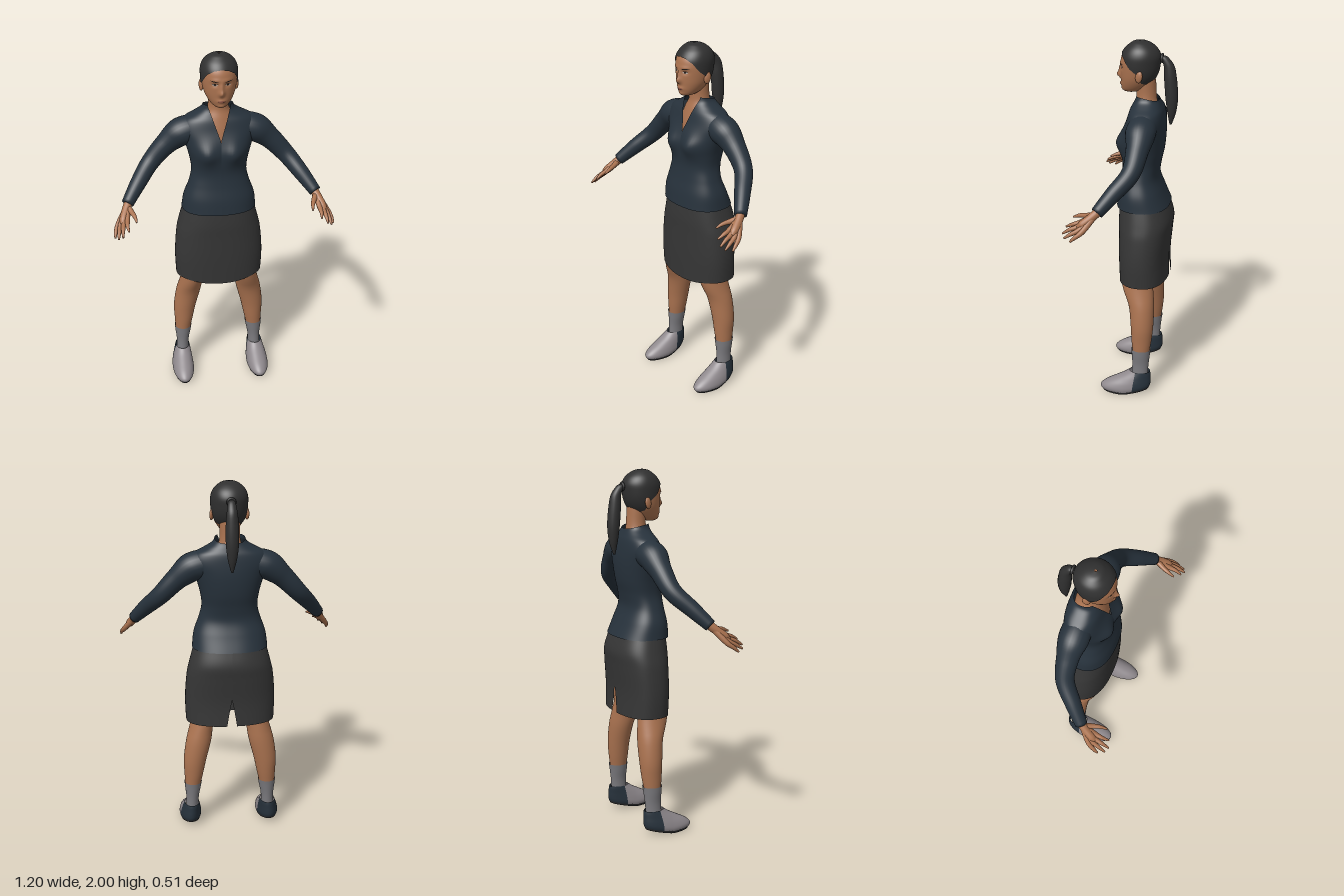
import * as THREE from 'three';

const colour = (name, hex, side = THREE.FrontSide) => {
  const m = new THREE.MeshStandardMaterial({ color: hex, side });
  m.name = name;
  return m;
};

// Smooth interpolation of rows [y, halfWidth, zFront, zBack, xCentre]
function profile(rows) {
  const n = rows.length;
  const slope = (i, k) => {
    const a = rows[Math.max(i - 1, 0)], b = rows[Math.min(i + 1, n - 1)];
    return ((b[k] ?? 0) - (a[k] ?? 0)) / (b[0] - a[0]);
  };
  return (y) => {
    let i = 0;
    while (i < n - 2 && y > rows[i + 1][0]) i++;
    const d = rows[i + 1][0] - rows[i][0];
    const t = Math.min(1, Math.max(0, (y - rows[i][0]) / d)), t2 = t * t, t3 = t2 * t;
    return [1, 2, 3, 4].map((k) => (2 * t3 - 3 * t2 + 1) * (rows[i][k] ?? 0) + (t3 - 2 * t2 + t) * d * slope(i, k)
      + (3 * t2 - 2 * t3) * (rows[i + 1][k] ?? 0) + (t3 - t2) * d * slope(i + 1, k));
  };
}

// Grid surface from a point rule; wrap joins the last column to the first
function grid(rows, cols, point, wrap) {
  const pos = [], idx = [], w = wrap ? cols : cols + 1;
  for (let i = 0; i <= rows; i++) for (let j = 0; j < w; j++) pos.push(...point(i / rows, j / cols));
  for (let i = 0; i < rows; i++) for (let j = 0; j < cols; j++) {
    const k = (j + 1) % w, a = i * w + j, b = i * w + k, c = b + w, d = a + w;
    idx.push(a, b, c, a, c, d);
  }
  const g = new THREE.BufferGeometry();
  g.setAttribute('position', new THREE.Float32BufferAttribute(pos, 3));
  g.setIndex(idx);
  g.computeVertexNormals();
  return g;
}

// Stack of oval rings; bottom and top may vary round the ring, gap opens it at the seam
function loft(prof, bottom, top, { gap, seam = 0, e = 1, bend, cols = 48, rows = 40, cap } = {}) {
  const pw = (v) => Math.sign(v) * Math.abs(v) ** e;
  const at = (f, a) => (typeof f === 'function' ? f(a) : f);
  return grid(rows, cols, (v, u) => {
    const a0 = seam + u * Math.PI * 2;
    const t = cap ? Math.max(0, (v * rows - 1) / (rows - 1)) : v;
    const y = THREE.MathUtils.lerp(at(bottom, a0), at(top, a0), (1 - Math.cos(Math.PI * t)) / 2);
    const [rx, zf, zb, cx] = prof(y);
    const g = gap ? gap(y) : 0, a = seam + g + u * 2 * (Math.PI - g);
    const k = cap && v === 0 ? 0 : 1;
    const p = [cx + k * rx * pw(Math.sin(a)), y, (zf + zb) / 2 + k * (zf - zb) / 2 * pw(Math.cos(a))];
    return bend ? bend(p) : p;
  }, !gap);
}

// Round limb through points [x, y, z, radius], closed at both ends
function limb(pts, s = 1, rows = 24, cols = 20) {
  const path = new THREE.CatmullRomCurve3(pts.map((p) => new THREE.Vector3(p[0] * s, p[1], p[2])));
  const rad = new THREE.CatmullRomCurve3(pts.map((p, i) => new THREE.Vector3(p[3], i * 0.02, 0)));
  const f = path.computeFrenetFrames(rows);
  return grid(rows + 2, cols, (v, u) => {
    const i = Math.min(rows, Math.max(0, Math.round(v * (rows + 2)) - 1));
    const r = v === 0 || v === 1 ? 0 : rad.getPoint(i / rows).x, a = u * Math.PI * 2;
    return path.getPoint(i / rows).addScaledVector(f.normals[i], r * Math.cos(a))
      .addScaledVector(f.binormals[i], r * Math.sin(a)).toArray();
  }, true);
}

const bell = (x, y, wx, wy) => Math.exp(-((x / wx) ** 2) - (y / wy) ** 2);

// Relief of nose, brows, eye sockets, cheeks and lips
const relief = (x, y) => 0.020 * bell(x, y - 1.812, 0.014, 0.017) + 0.011 * bell(x, y - 1.84, 0.011, 0.028)
  - 0.007 * bell(Math.abs(x) - 0.034, y - 1.858, 0.018, 0.012) + 0.004 * bell(Math.abs(x) - 0.03, y - 1.882, 0.03, 0.01)
  + 0.007 * bell(x, y - 1.767, 0.024, 0.012) + 0.006 * bell(x, y - 1.738, 0.02, 0.012);

const HEAD = [
  [1.722, 0.012, 0.022, -0.02], [1.73, 0.034, 0.037, -0.05], [1.75, 0.056, 0.046, -0.09], [1.79, 0.079, 0.05, -0.125],
  [1.83, 0.09, 0.052, -0.145], [1.88, 0.095, 0.053, -0.154], [1.92, 0.093, 0.046, -0.154], [1.955, 0.078, 0.024, -0.135],
  [1.98, 0.051, -0.005, -0.103], [1.991, 0.028, -0.025, -0.075], [1.995, 0.001, -0.048, -0.05]];

export function createModel() {
  const model = new THREE.Group();
  const skin = colour('skin', 0xab7350);
  const hair = colour('hair', 0x303030, THREE.DoubleSide);
  const navy = colour('navy cloth', 0x27323c, THREE.DoubleSide);
  const charcoal = colour('skirt cloth', 0x363636, THREE.DoubleSide);
  const sock = colour('sock grey', 0x7c7b7f, THREE.DoubleSide);
  const shoe = colour('shoe grey', 0x8f898d, THREE.DoubleSide);
  const sole = colour('sole', 0x2c2c2e);
  const lip = colour('lips', 0x8c5442);
  const white = colour('eye white', 0xb8aca2);
  const dark = colour('eye dark', 0x261c18);
  const add = (name, geo, mat) => {
    const m = new THREE.Mesh(geo, mat);
    m.name = name;
    model.add(m);
    return m;
  };

  // Head and neck
  const head = profile(HEAD);
  add('head', loft(head, 1.722, 1.995, {
    cols: 96, rows: 70, bend: ([x, y, z]) => [x, y, z > -0.03 ? z + relief(x, y) : z],
  }), skin);
  add('neck', loft(profile([[1.48, 0.11, 0.015, -0.15], [1.57, 0.11, 0.0, -0.16], [1.64, 0.085, -0.018, -0.155],
    [1.69, 0.057, -0.032, -0.142], [1.8, 0.056, -0.03, -0.135]]), 1.48, 1.8), skin);

  // Face details as thin patches that follow the head
  const patch = (name, cx, cy, w, h, slope, mat, lift) => add(name, grid(4, 12, (v, u) => {
    const a = u * 2 - 1, x = cx + a * w, y = cy + slope * a * w + (v * 2 - 1) * h * (1 - a * a);
    const [rx, zf, zb] = head(y);
    return [x, y, (zf + zb) / 2 + (zf - zb) / 2 * Math.sqrt(1 - (x / rx) ** 2) + relief(x, y) + lift];
  }), mat);
  patch('lips', 0, 1.767, 0.024, 0.007, 0, lip, 0.002);
  patch('mouthLine', 0, 1.767, 0.022, 0.001, 0, dark, 0.003);
  for (const s of [1, -1]) {
    patch('eyeWhite', s * 0.035, 1.858, 0.016, 0.006, 0, white, 0.002);
    patch('iris', s * 0.034, 1.858, 0.007, 0.006, 0, dark, 0.003);
    patch('upperLash', s * 0.035, 1.864, 0.018, 0.002, 0, dark, 0.003);
    patch('eyebrow', s * 0.037, 1.878, 0.023, 0.003, s * 0.15, dark, 0.002);
    const ear = add('ear', new THREE.SphereGeometry(1, 16, 12), skin);
    ear.scale.set(0.011, 0.032, 0.02);
    ear.position.set(s * 0.094, 1.825, -0.06);
    ear.rotation.set(-0.15, s * -0.3, 0);
  }

  // Hair cap with a hairline that falls from forehead to nape, and a ponytail
  const line = [1.938, 1.932, 1.91, 1.865, 1.835, 1.785, 1.775, 1.77, 1.77];
  const hairline = (a) => {
    const t = Math.abs(Math.atan2(Math.sin(a), Math.cos(a))) / Math.PI * 8, i = Math.min(7, Math.floor(t));
    return THREE.MathUtils.lerp(line[i], line[i + 1], t - i);
  };
  const cap = profile(HEAD.map(([y, rx, zf, zb]) => [y + 0.005, rx + 0.005, zf + 0.005, zb - 0.006]));
  add('hairCap', loft(cap, hairline, 2, { cols: 80 }), hair);
  add('ponytail', limb([[0, 1.9, -0.14, 0.018], [0, 1.91, -0.172, 0.02], [0, 1.875, -0.202, 0.027], [0, 1.8, -0.213, 0.034],
    [0, 1.7, -0.221, 0.034], [0, 1.62, -0.222, 0.024], [0, 1.55, -0.217, 0.006]], 1, 36), hair);
  const tie = add('hairTie', new THREE.TorusGeometry(0.019, 0.007, 8, 20), hair);
  tie.position.set(0, 1.91, -0.168);

  // Jacket, open in a V below the stand collar
  const body = profile([[1.1, 0.207, 0.068, -0.225], [1.18, 0.196, 0.06, -0.19], [1.26, 0.168, 0.045, -0.162],
    [1.33, 0.152, 0.038, -0.168], [1.4, 0.159, 0.043, -0.183], [1.46, 0.174, 0.046, -0.19], [1.52, 0.192, 0.035, -0.192],
    [1.58, 0.21, 0.015, -0.188], [1.63, 0.185, 0, -0.18], [1.66, 0.13, -0.012, -0.168], [1.685, 0.092, -0.02, -0.158],
    [1.715, 0.078, -0.024, -0.15]]);
  const neckline = (y) => (y < 1.53 ? 0
    : Math.asin(Math.min(0.75, 0.055 * (y - 1.53) / 0.16 / body(y)[0]) ** (1 / 0.85)));
  add('jacket', loft(body, 1.1, (a) => 1.7 + 0.012 * Math.cos(a), {
    gap: neckline, e: 0.85, cols: 72, rows: 72,
    bend: ([x, y, z]) => [x, y, z > -0.06 ? z + 0.028 * bell(Math.abs(x) - 0.075, y - 1.455, 0.055, 0.06) : z],
  }), navy);

  // Skirt with a slit at the back and a dipped front hem
  add('skirt', loft(profile([[0.64, 0.245, 0.05, -0.226], [0.8, 0.25, 0.055, -0.222], [0.95, 0.238, 0.056, -0.235],
    [1.02, 0.222, 0.057, -0.24], [1.12, 0.195, 0.05, -0.212]]),
  (a) => 0.67 - 0.025 * Math.max(0, Math.cos(a)) ** 4, 1.12,
  { seam: Math.PI, gap: (y) => Math.max(0, 0.82 - y) * 0.5, e: 0.85, cols: 64 }), charcoal);

  for (const s of [1, -1]) {
    const side = (rows) => profile(rows.map(([y, rx, zf, zb, cx]) => [y, rx, zf, zb, cx * s]));

    // Sleeve, cuff and hand
    add('sleeve', limb([[0.12, 1.57, -0.09, 0.075], [0.2, 1.55, -0.088, 0.08], [0.285, 1.485, -0.086, 0.06],
      [0.375, 1.39, -0.066, 0.05], [0.45, 1.304, 0.008, 0.043], [0.515, 1.222, 0.08, 0.033]], s, 40, 28), navy);
    add('palm', limb([[0.5, 1.24, 0.06, 0.024], [0.525, 1.2, 0.105, 0.023], [0.543, 1.165, 0.15, 0.022],
      [0.55, 1.148, 0.172, 0.012]], s), skin);
    const fingers = {
      indexFinger: [[0.523, 1.168, 0.165], [0.525, 1.155, 0.205], [0.52, 1.138, 0.24]],
      middleFinger: [[0.543, 1.153, 0.17], [0.55, 1.135, 0.215], [0.553, 1.112, 0.252]],
      ringFinger: [[0.561, 1.14, 0.164], [0.571, 1.118, 0.206], [0.576, 1.096, 0.24]],
      littleFinger: [[0.576, 1.131, 0.15], [0.589, 1.107, 0.182], [0.594, 1.086, 0.205]],
      thumb: [[0.497, 1.198, 0.135], [0.483, 1.19, 0.175], [0.476, 1.176, 0.212]],
    };
    for (const [name, [k, m, t]] of Object.entries(fingers)) {
      add(name, limb([[0.518, 1.21, 0.09, 0.018], [...k, 0.014], [...m, 0.0105], [...t, 0.005]], s, 18, 12), skin);
    }

    // Leg and sock
    add('leg', loft(side([[0.2, 0.034, -0.055, -0.14, 0.216], [0.27, 0.045, -0.05, -0.148, 0.213], [0.33, 0.053, -0.044, -0.157, 0.208],
      [0.42, 0.064, -0.038, -0.165, 0.2], [0.54, 0.071, -0.022, -0.165, 0.177], [0.62, 0.066, 0.01, -0.157, 0.16],
      [0.7, 0.067, 0.03, -0.15, 0.142], [0.9, 0.08, 0.035, -0.18, 0.12]]), 0.2, 0.9), skin);
    add('sock', loft(side([[0.09, 0.036, -0.045, -0.138, 0.22], [0.18, 0.036, -0.05, -0.143, 0.217],
      [0.25, 0.046, -0.046, -0.151, 0.214], [0.29, 0.051, -0.043, -0.157, 0.212]]), 0.09, 0.28), sock);

    // Shoe: grey toe, navy heel and a sole that rises to the heel
    const foot = side([[0, 0.054, 0.118, -0.145, 0.226], [0.03, 0.063, 0.134, -0.155, 0.226], [0.06, 0.06, 0.105, -0.157, 0.225],
      [0.09, 0.053, 0.05, -0.156, 0.223], [0.12, 0.046, -0.005, -0.155, 0.221], [0.142, 0.041, -0.035, -0.152, 0.22]]);
    const bend = ([x, y, z]) => [x, y + 0.035 * THREE.MathUtils.clamp(-z / 0.15, 0, 1) * Math.max(0, 1 - y / 0.14), z];
    const split = (y) => {
      const [, zf, zb] = foot(y);
      return Math.acos((-0.055 - y * 0.13 - (zf + zb) / 2) / ((zf - zb) / 2));
    };
    add('shoeToe', loft(foot, 0.015, 0.142, { bend, seam: Math.PI, gap: (y) => Math.PI - split(y), rows: 24 }), shoe);
    add('shoeHeel', loft(foot, 0.015, 0.142, { bend, gap: split, rows: 24 }), navy);
    add('shoeSole', loft(foot, 0, 0.018, { bend, cap: true, rows: 6 }), sole);
  }
  return model;
}
